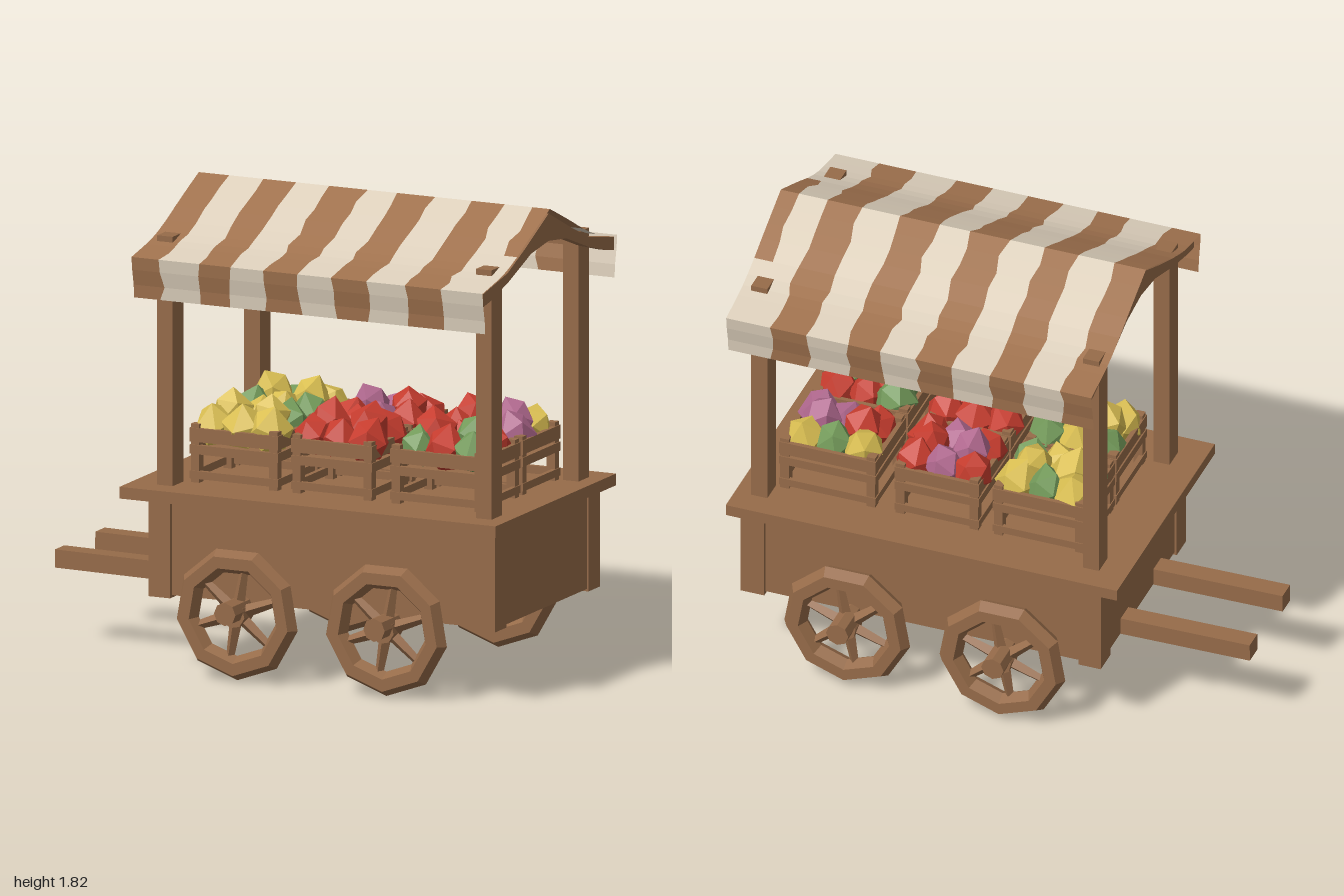
import * as THREE from 'three';

const mat = (name, color, side = THREE.FrontSide) => {
  const m = new THREE.MeshStandardMaterial({ color, flatShading: true, side });
  m.name = name;
  return m;
};

export function createModel() {
  const cart = new THREE.Group();
  cart.name = 'marketCart';
  const wood = mat('wood', 0x966b49);
  const brownCloth = mat('brownCloth', 0xa0724e, THREE.DoubleSide);
  const creamCloth = mat('creamCloth', 0xdccfbb, THREE.DoubleSide);
  const yellow = mat('yellowFruit', 0xdabf52);
  const red = mat('redFruit', 0xc63c2e);
  const green = mat('greenFruit', 0x739a5a);
  const purple = mat('purpleFruit', 0xb0688e);

  // Seeded random numbers
  let seed = 7;
  const rnd = () => {
    seed = (seed * 16807) % 2147483647;
    return seed / 2147483647;
  };

  const add = (parent, name, geo, material, x = 0, y = 0, z = 0) => {
    const m = new THREE.Mesh(geo, material);
    m.name = name;
    m.position.set(x, y, z);
    parent.add(m);
    return m;
  };
  // Box given by its limits on each axis
  const box = (parent, name, x0, x1, y0, y1, z0, z1) =>
    add(parent, name, new THREE.BoxGeometry(x1 - x0, y1 - y0, z1 - z0), wood,
      (x0 + x1) / 2, (y0 + y1) / 2, (z0 + z1) / 2);

  // Body, corner boards and counter
  box(cart, 'body', -0.48, 0.955, 0.3, 0.69, -0.435, 0.435);
  for (const s of [-1, 1]) {
    for (const [x0, x1] of [[-0.49, -0.4], [0.865, 0.96]])
      box(cart, 'cornerBoard', x0, x1, 0.29, 0.69, s * 0.4 - 0.05, s * 0.4 + 0.05);
  }
  box(cart, 'counter', -0.58, 0.995, 0.67, 0.715, -0.515, 0.515);

  // Pull handles
  for (const z of [-0.175, 0.17]) {
    const h = box(cart, 'handle', -1, -0.46, 0.3, 0.37, z - 0.04, z + 0.04);
    h.rotation.z = -0.012;
  }

  // Axles and wheels
  const rimGeo = new THREE.TorusGeometry(0.21, 0.047, 6, 9);
  const hubGeo = new THREE.CylinderGeometry(0.05, 0.05, 0.08, 8).rotateX(Math.PI / 2);
  const spokeGeo = new THREE.CylinderGeometry(0.015, 0.026, 0.18, 4).translate(0, 0.11, 0);
  const axleGeo = new THREE.CylinderGeometry(0.045, 0.045, 1.17, 8).rotateX(Math.PI / 2);
  for (const x of [-0.105, 0.52]) {
    add(cart, 'axle', axleGeo, wood, x, 0.283, 0);
    for (const s of [-1, 1]) {
      const wheel = new THREE.Group();
      wheel.name = 'wheel';
      wheel.position.set(x, 0.266, s * 0.478);
      wheel.rotation.z = -Math.PI / 18;
      add(wheel, 'rim', rimGeo, wood);
      add(wheel, 'hub', hubGeo, wood);
      for (let i = 0; i < 6; i++)
        add(wheel, 'spoke', spokeGeo, wood).rotation.z = (i * Math.PI) / 3;
      cart.add(wheel);
    }
  }

  // Roof posts, and rafters over each pair
  for (const [x0, x1] of [[-0.47, -0.405], [0.865, 0.93]]) {
    for (const s of [-1, 1]) {
      const z = s * 0.372;
      box(cart, 'roofPost', x0, x1, 0.69, 1.675, z - 0.045, z + 0.045);
      const outline = new THREE.Shape([[0, 1.815], [0.2, 1.72], [0.35, 1.655], [0.56, 1.615],
        [0.56, 1.565], [0.5, 1.575], [0.34, 1.62], [0.15, 1.69], [0, 1.71]]
        .map(([a, b]) => new THREE.Vector2(s * a, b)));
      const geo = new THREE.ExtrudeGeometry(outline, { depth: 0.04, bevelEnabled: false });
      geo.rotateY(-Math.PI / 2);
      add(cart, 'rafter', geo, wood, x0 < 0 ? -0.44 : 0.965);
    }
  }
  box(cart, 'ridgeBeam', -0.47, 0.94, 1.75, 1.795, -0.02, 0.02);
  for (const s of [-1, 1])
    box(cart, 'eaveBeam', -0.47, 0.94, 1.575, 1.61, s * 0.535 - 0.015, s * 0.535 + 0.015);

  // Striped cloth: one strip per stripe, following the roof profile, with ragged seams
  const half = [[0.553, 1.46], [0.557, 1.51], [0.57, 1.57], [0.576, 1.62], [0.51, 1.633],
    [0.45, 1.645], [0.4, 1.657], [0.35, 1.674], [0.28, 1.703], [0.2, 1.742], [0.14, 1.77],
    [0.07, 1.802]];
  const profile = [...half, [0, 1.833], ...half.slice().reverse().map(([z, y]) => [-z, y])];
  const seams = [-0.5, -0.38, -0.225, -0.095, 0.055, 0.2, 0.34, 0.485, 0.645, 0.79, 0.905, 0.97];
  const last = seams.length - 2;
  const edges = seams.map((x, i) => profile.map(() =>
    x + (i === 0 || i > last ? 0 : (rnd() - 0.5) * 0.022)));
  for (let i = 0; i <= last; i++) {
    const pos = [], index = [];
    const geo = new THREE.BufferGeometry();
    profile.forEach(([z, y], j) => {
      pos.push(edges[i][j], y, z, edges[i + 1][j], y, z);
      if (j) {
        const a = 2 * j - 2;
        // The outermost stripe is brown only near the ridge
        const cream = i % 2 === 1 || (i === last && Math.abs(z + profile[j - 1][0]) > 0.5);
        geo.addGroup(index.length, 6, cream ? 1 : 0);
        index.push(a, a + 1, a + 3, a, a + 3, a + 2);
      }
    });
    geo.setAttribute('position', new THREE.Float32BufferAttribute(pos, 3));
    geo.setIndex(index);
    geo.computeVertexNormals();
    add(cart, 'roofStripe', geo, [brownCloth, creamCloth]);
  }

  // Faceted fruit with a pointed top
  const fruitGeo = new THREE.IcosahedronGeometry(0.083, 0).rotateX(0.55);
  const p = fruitGeo.attributes.position;
  for (let i = 0; i < p.count; i++) {
    const y = p.getY(i);
    if (y > 0.07) p.setXYZ(i, p.getX(i) * 0.4, y * 1.3, p.getZ(i) * 0.4);
  }
  fruitGeo.computeVertexNormals();

  // Raised slatted crate; fruits lists the back row, the front row, then the two on top
  const crate = (x0, x1, z0, z1, fruits) => {
    const g = new THREE.Group();
    g.name = 'crate';
    const t = 0.018, w = 0.035;
    box(g, 'tray', x0 + t, x1 - t, 0.825, 0.84, z0 + t, z1 - t);
    for (const [y0, y1, name] of [[0.73, 0.76, 'bottomRail'], [0.825, 0.86, 'lowerSlat'],
      [0.872, 0.925, 'upperSlat']]) {
      for (const z of [z0, z1 - t]) box(g, name, x0, x1, y0, y1, z, z + t);
      for (const x of [x0, x1 - t]) box(g, name, x, x + t, y0, y1, z0, z1);
    }
    for (const x of [x0 + 0.004, x1 - w - 0.004])
      for (const z of [z0 + 0.004, z1 - w - 0.004])
        box(g, 'leg', x, x + w, 0.715, 0.94, z, z + w);
    const cx = (x0 + x1) / 2, cz = (z0 + z1) / 2;
    fruits.forEach((material, i) => {
      const top = i > 5;
      const x = top ? (i - 6.5) * 0.16 : ((i % 3) - 1) * 0.115;
      const z = top ? 0 : i < 3 ? -0.078 : 0.078;
      const f = add(g, 'fruit', fruitGeo, material, cx + x, top ? 0.965 : 0.922, cz + z);
      f.rotation.set((rnd() - 0.5) * 0.7, rnd() * 6.28, (rnd() - 0.5) * 0.7);
      f.scale.setScalar(0.93 + rnd() * 0.17);
    });
    cart.add(g);
  };
  const columns = [[-0.38, -0.01], [0.045, 0.385], [0.46, 0.85]];
  const front = [
    [green, yellow, green, yellow, yellow, yellow, yellow, yellow],
    [red, red, red, red, red, red, red, red],
    [green, red, red, green, red, green, red, green]];
  const back = [
    [yellow, green, yellow, green, yellow, green, yellow, yellow],
    [red, purple, red, red, purple, red, purple, red],
    [yellow, green, yellow, red, purple, purple, red, purple]];
  columns.forEach(([x0, x1], i) => {
    crate(x0, x1, 0.005, 0.325, front[i]);
    crate(x0, x1, -0.335, -0.015, back[i]);
  });

  return cart;
}
